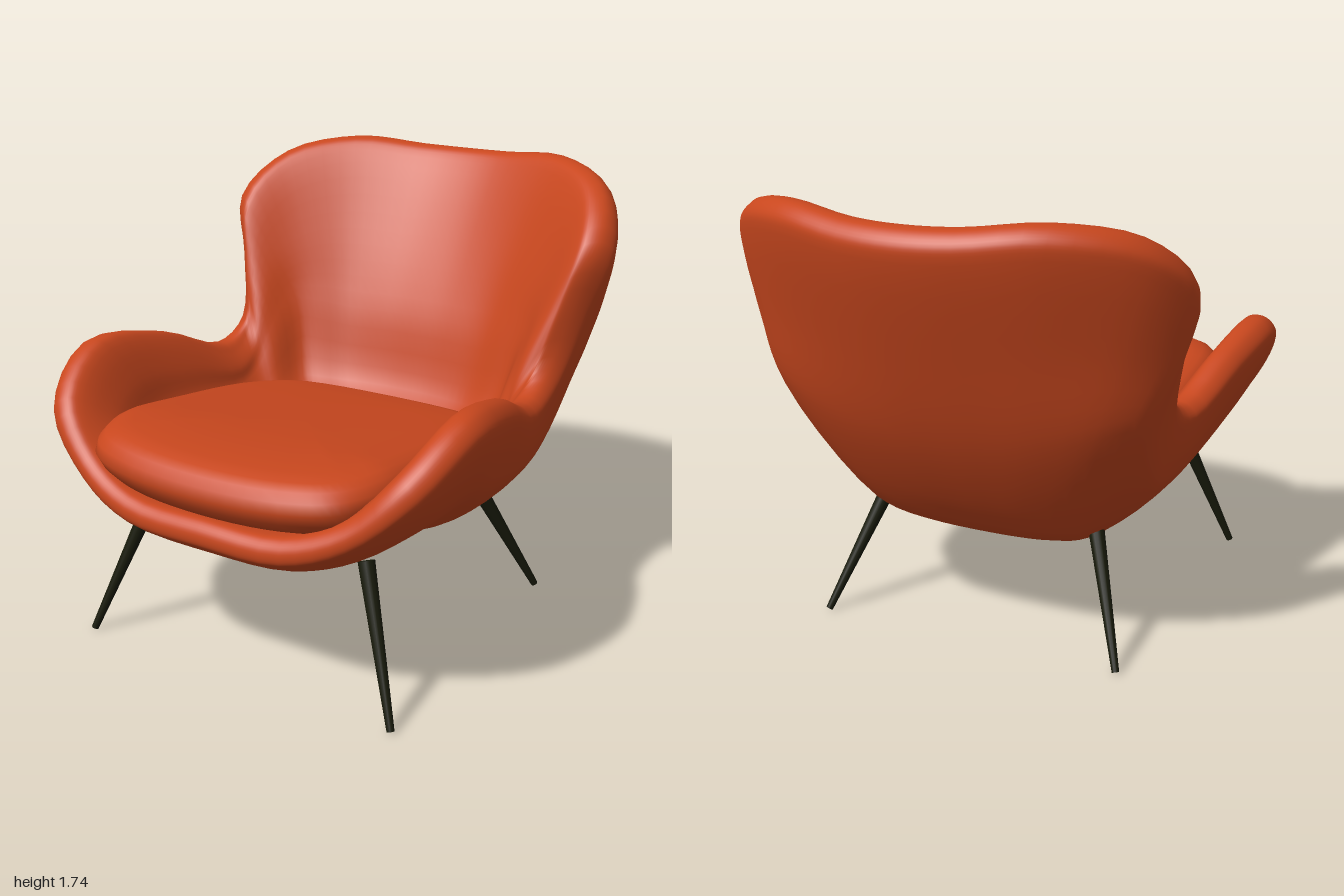
import * as THREE from 'three';
import { mergeVertices } from 'three/addons/utils/BufferGeometryUtils.js';

const V = (x, y, z) => new THREE.Vector3(x, y, z);
const mix = (a, b, t) => a + (b - a) * t;

// Half the shell, front centre to back centre: rim bead centre, outer wall, inner wall, bead radius
const STATIONS = [
  [0, 0.63, 0.92, 0, 0.485, 0.74, 0, 0.62, 0.70, 0.06],
  [0.33, 0.64, 0.91, 0.30, 0.50, 0.71, 0.30, 0.63, 0.68, 0.06],
  [0.55, 0.73, 0.865, 0.49, 0.56, 0.67, 0.46, 0.72, 0.62, 0.064],
  [0.73, 0.90, 0.79, 0.66, 0.67, 0.58, 0.57, 0.77, 0.58, 0.07],
  [0.803, 1.04, 0.56, 0.74, 0.74, 0.42, 0.62, 0.80, 0.40, 0.077],
  [0.765, 0.99, 0.22, 0.71, 0.67, 0.18, 0.60, 0.80, 0.16, 0.073],
  [0.70, 0.88, -0.09, 0.68, 0.63, -0.10, 0.58, 0.79, -0.08, 0.067],
  [0.70, 0.95, -0.26, 0.67, 0.66, -0.29, 0.575, 0.83, -0.17, 0.073],
  [0.75, 1.19, -0.365, 0.69, 0.84, -0.47, 0.56, 0.94, -0.25, 0.085],
  [0.80, 1.42, -0.445, 0.695, 1.0, -0.59, 0.535, 1.08, -0.40, 0.09],
  [0.71, 1.595, -0.635, 0.57, 0.97, -0.66, 0.44, 1.08, -0.45, 0.085],
  [0.47, 1.66, -0.815, 0.36, 0.90, -0.70, 0.32, 1.06, -0.495, 0.08],
  [0.20, 1.64, -0.90, 0.16, 0.86, -0.71, 0.15, 1.06, -0.52, 0.078],
  [0, 1.635, -0.92, 0, 0.85, -0.71, 0, 1.06, -0.525, 0.078],
];

// Mirrors a half loop in x and closes it
function mirrorLoop(half) {
  const back = half.slice(1, -1).reverse().map((p) => V(-p.x, p.y, p.z));
  return half.concat(back);
}

// Skins closed rings of equal length, ordered from the underside to the top
function skin(rings) {
  const n = rings[0].length, index = [];
  for (let j = 0; j < rings.length - 1; j++) {
    for (let i = 0; i < n; i++) {
      const a = j * n + i, b = j * n + (i + 1) % n;
      index.push(a, b, a + n, b, b + n, a + n);
    }
  }
  const g = new THREE.BufferGeometry().setFromPoints(rings.flat());
  g.setIndex(index);
  const merged = mergeVertices(g, 1e-5);
  merged.computeVertexNormals();
  return merged;
}

function closedRing(points, n) {
  const c = new THREE.CatmullRomCurve3(points, true, 'centripetal');
  return Array.from({ length: n }, (_, i) => c.getPoint(i / n));
}

// Height of the shell's underside
function bellyHeight(x, z) {
  const front = 0.14 * THREE.MathUtils.smoothstep(z, -0.15, 0.55);
  const back = 1.3 * Math.min(0, z + 0.12) ** 2;
  return 0.338 + front + back + 0.1 * x * x + 1.2 * x ** 4;
}

// Wall profile: underside, outer wall, rolled rim, inner wall, seat base
function wallProfile(s) {
  const rim = V(s[0], s[1], s[2]), outer = V(s[3], s[4], s[5]), inner = V(s[6], s[7], s[8]), r = s[9];
  const base = V(0, 0.338, -0.12), seat = V(0, 0.62, 0.1);
  const belly = [0.2, 0.4, 0.6].map((t) => {
    const p = base.clone().lerp(outer, t);
    p.y = bellyHeight(p.x, p.z);
    return p;
  });
  const up = rim.clone().sub(outer.clone().add(inner).multiplyScalar(0.5)).normalize();
  const across = outer.clone().sub(inner);
  across.addScaledVector(up, -across.dot(up)).normalize();
  const bead = [0, 45, 90, 135, 180].map((deg) => {
    const a = THREE.MathUtils.degToRad(deg);
    return rim.clone().addScaledVector(across, r * Math.cos(a)).addScaledVector(up, r * Math.sin(a));
  });
  const outerBulge = outer.clone().lerp(bead[0], 0.55).addScaledVector(across, 0.015);
  const innerBulge = inner.clone().lerp(bead[4], 0.5).addScaledVector(across, -0.01);
  const foot = inner.clone().lerp(seat, 0.22);
  foot.y = mix(inner.y, seat.y, 0.8);
  const pts = [base, ...belly, outer, outerBulge, ...bead, innerBulge, inner, foot, seat];
  return new THREE.CatmullRomCurve3(pts, false, 'centripetal').getPoints(70);
}

function shellGeometry() {
  const walls = STATIONS.map(wallProfile);
  const rings = walls[0].map((_, j) => closedRing(mirrorLoop(walls.map((w) => w[j])), 104));
  return skin(rings);
}

// Seat cushion: one outline scaled through a soft edge profile
function cushionGeometry() {
  const half = [[0, 1], [0.35, 0.97], [0.52, 0.90], [0.605, 0.75], [0.62, 0.4],
    [0.585, -0.1], [0.45, -0.34], [0, -0.44]].map(([x, z]) => V(x, 0, z));
  const outline = closedRing(mirrorLoop(half), 72);
  const profile = [[0, -0.11], [0.84, -0.11], [0.92, -0.085], [0.97, -0.045], [1, 0.0],
    [0.985, 0.04], [0.95, 0.07], [0.9, 0.09], [0.82, 0.104], [0.6, 0.108], [0.3, 0.11], [0, 0.11]];
  const rings = profile.map(([s, h]) => outline.map((p) => {
    const x = p.x * s, z = mix(0.3, p.z, s);
    return V(x, 0.79 + h + 0.07 * x * x - 0.13 * Math.max(0, 0.65 - z), z);
  }));
  return skin(rings);
}

// Tapered round leg between two points
function leg(name, top, foot, material) {
  const axis = top.clone().sub(foot);
  const mesh = new THREE.Mesh(new THREE.CylinderGeometry(0.031, 0.014, axis.length(), 14), material);
  mesh.position.copy(top).add(foot).multiplyScalar(0.5);
  mesh.quaternion.setFromUnitVectors(V(0, 1, 0), axis.normalize());
  mesh.name = name;
  return mesh;
}

export function createModel() {
  const fabric = new THREE.MeshStandardMaterial({ color: 0xc8471e });
  fabric.name = 'orange fabric';
  const wood = new THREE.MeshStandardMaterial({ color: 0x181a0a });
  wood.name = 'dark wood';

  const chair = new THREE.Group();
  chair.name = 'armchair';

  const shell = new THREE.Mesh(shellGeometry(), fabric);
  shell.name = 'shell';
  const cushion = new THREE.Mesh(cushionGeometry(), fabric);
  cushion.name = 'seatCushion';
  chair.add(shell, cushion);

  for (const [side, s] of [['Left', 1], ['Right', -1]]) {
    chair.add(leg('frontLeg' + side, V(0.485 * s, 0.54, 0.65), V(0.68 * s, 0.003, 0.8), wood));
    chair.add(leg('backLeg' + side, V(0.445 * s, 0.465, -0.27), V(0.61 * s, 0.003, -0.48), wood));
  }
  return chair;
}
